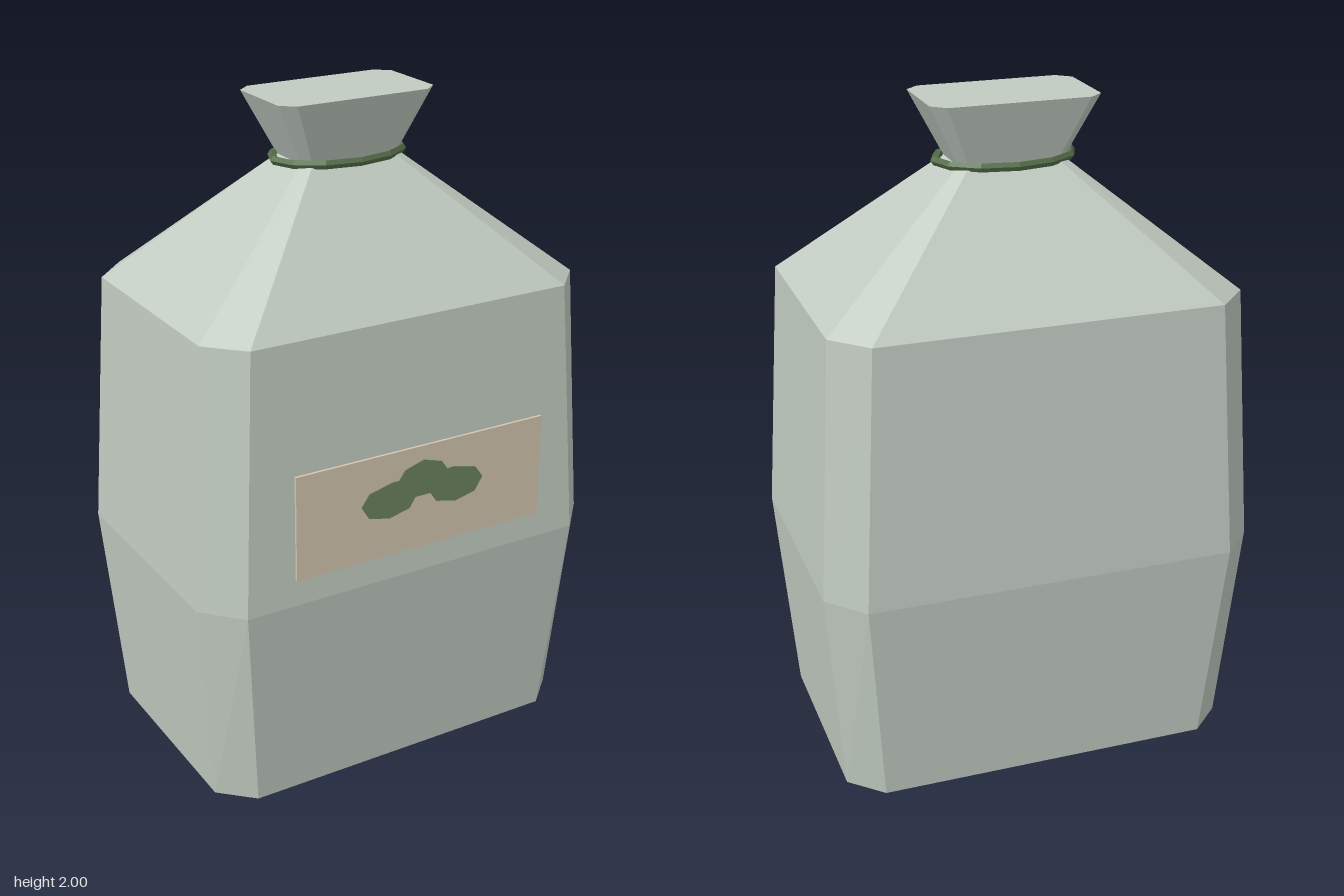
import * as THREE from 'three';

const CENTRE_Z = -0.022;

// Chamfered-rectangle cross-section [y, halfX, halfZ, chamferX, chamferZ], counter-clockwise from above
function ring([y, hx, hz, cx, cz]) {
  const a = hx - cx, b = hz - cz;
  return [[hx, b], [hx, -b], [a, -hz], [-a, -hz], [-hx, -b], [-hx, b], [-a, hz], [a, hz]]
    .map(([x, z]) => [x, y, z]);
}

// Joins cross-sections from bottom to top, with optional flat caps
function loft(sections, capBottom, capTop) {
  const rings = sections.map(ring);
  const pos = [];
  const tri = (a, b, c) => pos.push(...a, ...b, ...c);
  for (let i = 0; i < rings.length - 1; i++) {
    for (let j = 0; j < 8; j++) {
      const k = (j + 1) % 8;
      const [lo, hi] = [rings[i], rings[i + 1]];
      tri(lo[j], lo[k], hi[k]);
      tri(lo[j], hi[k], hi[j]);
    }
  }
  const first = rings[0], last = rings[rings.length - 1];
  for (let j = 1; j < 7; j++) {
    if (capBottom) tri(first[0], first[j + 1], first[j]);
    if (capTop) tri(last[0], last[j], last[j + 1]);
  }
  const geo = new THREE.BufferGeometry();
  geo.setAttribute('position', new THREE.Float32BufferAttribute(pos, 3));
  geo.computeVertexNormals();
  return geo;
}

function material(name, color) {
  const m = new THREE.MeshStandardMaterial({ color, flatShading: true });
  m.name = name;
  return m;
}

export function createModel() {
  const group = new THREE.Group();
  group.name = 'sack';
  const cloth = material('sage cloth', 0xc1cbc1);
  const paper = material('tan paper', 0xd3c6ae);
  const leaf = material('leaf green', 0x6c8460);
  const cord = material('dark green cord', 0x56704a);

  const add = (name, geo, mat, x, y, z) => {
    const mesh = new THREE.Mesh(geo, mat);
    mesh.name = name;
    mesh.position.set(x, y, z);
    group.add(mesh);
    return mesh;
  };

  // Bulging body with bevelled base and sloping shoulders
  add('body', loft([
    [0, 0.46, 0.308, 0.075, 0.075],
    [0.06, 0.593, 0.395, 0.095, 0.09],
    [0.7, 0.645, 0.45, 0.1, 0.108],
    [1.46, 0.598, 0.415, 0.097, 0.1],
    [1.82, 0.155, 0.09, 0.025, 0.022],
  ], true, false), cloth, 0, 0, CENTRE_Z);

  // Flared gathered top
  add('gatheredTop', loft([
    [1.82, 0.155, 0.09, 0.025, 0.022],
    [2, 0.245, 0.143, 0.04, 0.035],
  ], false, true), cloth, 0, 0, CENTRE_Z);

  // Oval cord around the neck
  const tie = new THREE.TorusGeometry(0.2, 0.013, 5, 12);
  tie.rotateX(Math.PI / 2);
  tie.scale(1, 1, 0.65);
  add('neckTie', tie, cord, 0, 1.822, CENTRE_Z);

  // Label plate standing just off the front
  add('label', new THREE.BoxGeometry(0.805, 0.312, 0.008), paper, 0, 0.944, 0.443);

  // Three-lobed leaf emblem, mirrored about x = 0
  const half = [[0, 0.95], [0.025, 0.95], [0.045, 0.92], [0.11, 0.905], [0.175, 0.92],
    [0.2, 0.96], [0.175, 0.995], [0.1, 1.013], [0.08, 1.012], [0.06, 1.04], [0, 1.058]];
  const mirrored = half.slice(1, -1).reverse().map(([x, y]) => [-x, y]);
  const outline = new THREE.Shape([...half, ...mirrored].map(([x, y]) => new THREE.Vector2(x, y)));
  add('leafEmblem', new THREE.ExtrudeGeometry(outline, { depth: 0.003, bevelEnabled: false }),
    leaf, 0, 0, 0.447);

  return group;
}
